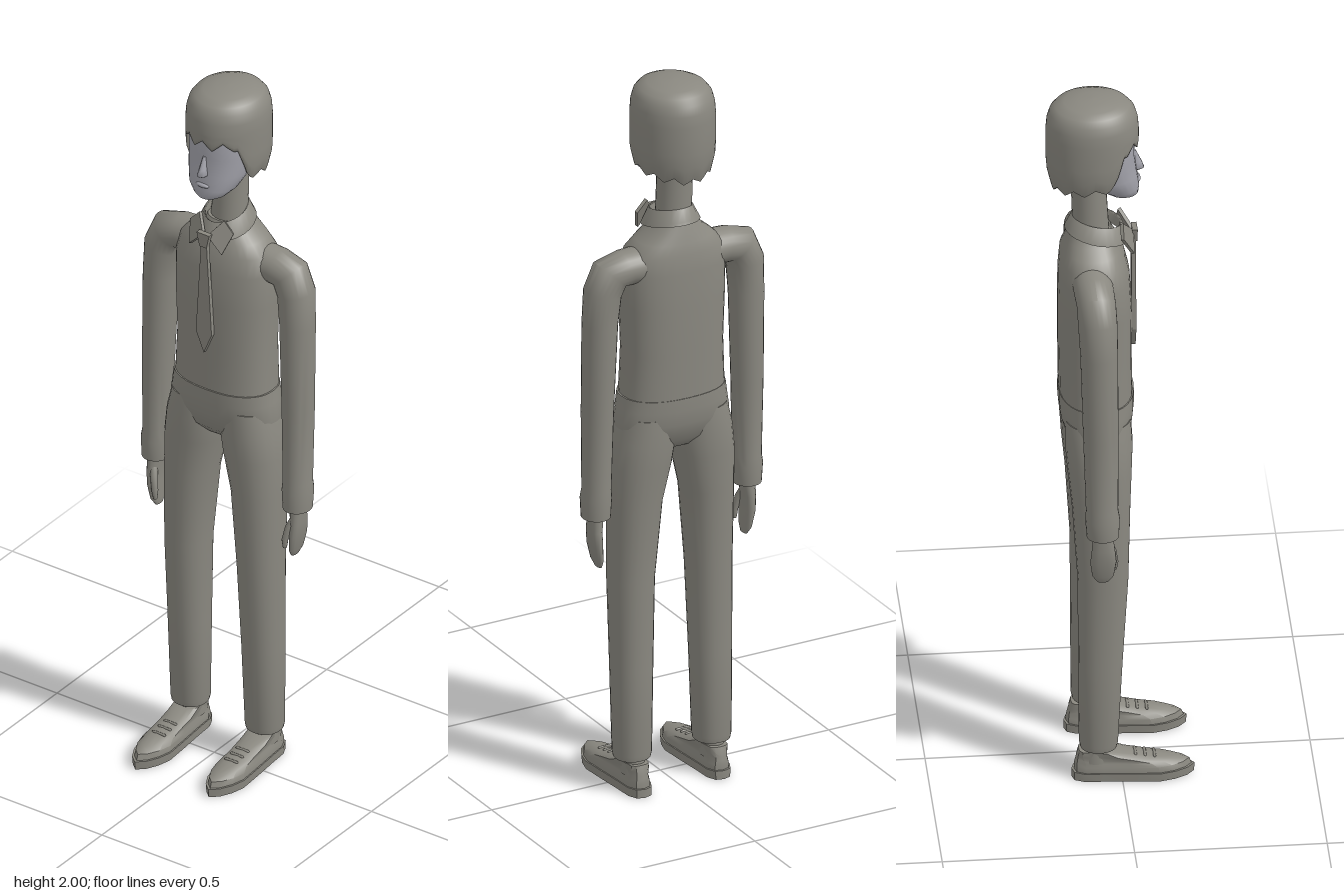
import * as THREE from 'three';
import { toCreasedNormals } from 'three/addons/utils/BufferGeometryUtils.js';

// Elliptical cross-section: centre, radii, tilt about z, squareness
function ring(x, y, z, rx, rz, tilt = 0, power = 2, n = 24) {
  const pts = [];
  for (let i = 0; i < n; i++) {
    const a = (i / n) * Math.PI * 2, c = Math.cos(a), s = Math.sin(a);
    const u = Math.sign(c) * Math.abs(c) ** (2 / power) * rx;
    const v = Math.sign(s) * Math.abs(s) ** (2 / power) * rz;
    pts.push(new THREE.Vector3(x + u * Math.cos(tilt), y + u * Math.sin(tilt), z + v));
  }
  return pts;
}

// Skin over rings listed from bottom to top, with optional end caps
function loft(rings, caps = true) {
  const n = rings[0].length, pos = [], idx = [];
  const add = (p) => pos.push(p.x, p.y, p.z) / 3 - 1;
  rings.forEach((r) => r.forEach(add));
  for (let j = 0; j < rings.length - 1; j++) {
    for (let i = 0; i < n; i++) {
      const k = (i + 1) % n, a = j * n + i, b = j * n + k;
      idx.push(a, a + n, b, b, a + n, b + n);
    }
  }
  if (caps) [rings[0], rings[rings.length - 1]].forEach((r, top) => {
    const mid = r.reduce((m, p) => m.add(p), new THREE.Vector3()).divideScalar(n);
    const c = add(mid), first = r.map(add)[0];
    for (let i = 0; i < n; i++) {
      const a = first + i, b = first + (i + 1) % n;
      if (top) idx.push(c, b, a); else idx.push(c, a, b);
    }
  });
  const g = new THREE.BufferGeometry();
  g.setAttribute('position', new THREE.Float32BufferAttribute(pos, 3));
  g.setIndex(idx);
  g.computeVertexNormals();
  return g;
}

// Copy of a geometry reflected across x = 0
function mirror(geo) {
  const g = geo.clone().scale(-1, 1, 1);
  const src = g.index ? Array.from(g.index.array) : Array.from({ length: g.attributes.position.count }, (_, i) => i);
  for (let i = 0; i < src.length; i += 3) [src[i + 1], src[i + 2]] = [src[i + 2], src[i + 1]];
  g.setIndex(src);
  return g;
}

const rings = (list, power = 2, n = 24) => list.map(([x, y, z, rx, rz, t = 0]) => ring(x, y, z, rx, rz, t, power, n));

function plate(points, depth) {
  const shape = new THREE.Shape(points.map(([x, y]) => new THREE.Vector2(x, y)));
  return new THREE.ExtrudeGeometry(shape, { depth, bevelEnabled: false });
}

// Pointed shoe outline at one height
function shoeRing(y, heel, toe, w) {
  const half = [[0, 1], [0.45, 0.94], [0.8, 0.84], [1, 0.72], [0.9, 0.5], [0.76, 0.25], [0.7, 0.1], [0.45, 0.02], [0, 0]];
  const full = [...half, ...half.slice(1, -1).reverse().map(([x, t]) => [-x, t])];
  return full.reverse().map(([x, t]) => new THREE.Vector3(0.117 + x * w, y, heel + (toe - heel) * t));
}

// Bowl of hair with a ragged fringe, side locks and nape
function hairGeometry() {
  const n = 72, list = [];
  const edge = (i) => {
    const phi = Math.abs(((i / n) * 2 - 0.5) * Math.PI);
    const f = Math.min(phi, Math.PI * 2 - phi);
    const tooth = Math.abs((i % 6) - 3) / 3;
    if (f < 0.85) return 1.862 + tooth * 0.024;
    if (f < 1.2) return THREE.MathUtils.lerp(1.87, 1.765, (f - 0.85) / 0.35);
    return THREE.MathUtils.lerp(1.765, 1.738, (f - 1.2) / 1.95) + tooth * 0.018;
  };
  const row = (r, yOf) => list.push(Array.from({ length: n }, (_, i) => {
    const a = (i / n) * Math.PI * 2, y = yOf(i);
    const k = r * (1 - Math.max(0, 1.81 - y) * 1.6);
    return new THREE.Vector3(Math.cos(a) * 0.109 * k, y, -0.066 + Math.sin(a) * 0.121 * k);
  }));
  row(0.87, (i) => edge(i) + 0.03);
  row(0.93, edge);
  row(0.985, edge);
  for (const t of [0.25, 0.5, 0.75]) row(1, (i) => THREE.MathUtils.lerp(edge(i), 1.91, t));
  [[1, 1.91], [0.98, 1.94], [0.92, 1.965], [0.8, 1.982], [0.6, 1.993], [0.3, 1.999], [0.001, 2]]
    .forEach(([r, y]) => row(r, () => y));
  return loft(list, false);
}

export function createModel() {
  const model = new THREE.Group();
  const grey = new THREE.MeshStandardMaterial({ name: 'warm grey', color: 0x8a8880, side: THREE.DoubleSide });
  const pale = new THREE.MeshStandardMaterial({ name: 'pale face grey', color: 0xa2a2aa });
  const add = (name, geo, mat = grey) => {
    const m = new THREE.Mesh(geo, mat);
    m.name = name;
    model.add(m);
    return m;
  };
  const pair = (name, geo) => {
    add('left' + name, geo);
    add('right' + name, mirror(geo));
  };

  // Head, nose, neck and hair
  add('face', loft(rings([
    [0, 1.71, 0.025, 0.028, 0.026], [0, 1.718, 0.014, 0.045, 0.04], [0, 1.74, 0, 0.066, 0.056],
    [0, 1.78, -0.03, 0.083, 0.08], [0, 1.83, -0.05, 0.091, 0.094], [0, 1.89, -0.056, 0.095, 0.1],
    [0, 1.95, -0.06, 0.085, 0.09], [0, 1.975, -0.06, 0.05, 0.05]], 2.2)), pale);
  add('nose', loft(rings([
    [0, 1.776, 0.045, 0.006, 0.01], [0, 1.784, 0.05, 0.014, 0.02], [0, 1.8, 0.046, 0.01, 0.018],
    [0, 1.835, 0.038, 0.005, 0.01]], 2, 10)), pale);
  add('lips', new THREE.SphereGeometry(1, 12, 8).scale(0.022, 0.007, 0.01).translate(0, 1.752, 0.05), pale);
  add('neck', loft(rings([[0, 1.57, -0.07, 0.055, 0.05], [0, 1.64, -0.071, 0.048, 0.047], [0, 1.79, -0.078, 0.047, 0.045]])));
  add('hair', hairGeometry());

  // Shirt body
  add('shirt', toCreasedNormals(loft(rings([
    [0, 1.11, -0.058, 0.144, 0.095], [0, 1.25, -0.06, 0.138, 0.095], [0, 1.38, -0.06, 0.143, 0.096],
    [0, 1.48, -0.062, 0.145, 0.092], [0, 1.53, -0.066, 0.135, 0.084], [0, 1.56, -0.068, 0.105, 0.074],
    [0, 1.585, -0.07, 0.075, 0.065], [0, 1.61, -0.072, 0.056, 0.055]], 2.4, 32)), 0.9));

  // Sleeves bending over the shoulders
  pair('Sleeve', toCreasedNormals(loft(rings([
    [0.224, 0.8, -0.058, 0.038, 0.042], [0.224, 0.855, -0.059, 0.041, 0.045], [0.223, 0.88, -0.06, 0.038, 0.042],
    [0.222, 1.1, -0.063, 0.042, 0.046], [0.217, 1.35, -0.067, 0.047, 0.049], [0.211, 1.44, -0.07, 0.051, 0.051, 0.25],
    [0.19, 1.488, -0.072, 0.054, 0.051, 0.75], [0.145, 1.498, -0.074, 0.049, 0.052, 1.3],
    [0.08, 1.5, -0.075, 0.05, 0.052, 1.57]])), 0.9));

  // Hands with thumbs
  pair('Hand', loft(rings([
    [0.216, 0.655, -0.057, 0.006, 0.015], [0.22, 0.675, -0.057, 0.011, 0.028], [0.226, 0.72, -0.057, 0.015, 0.034],
    [0.228, 0.76, -0.057, 0.017, 0.03], [0.224, 0.82, -0.058, 0.02, 0.024]], 2.2, 16)));
  pair('Thumb', loft(rings([
    [0.206, 0.685, -0.026, 0.005, 0.006], [0.207, 0.71, -0.025, 0.009, 0.009], [0.215, 0.75, -0.033, 0.01, 0.011],
    [0.224, 0.78, -0.045, 0.008, 0.01]], 2, 10)));

  // Trousers
  add('trouserHips', toCreasedNormals(loft(rings([
    [0, 0.972, -0.056, 0.1, 0.055], [0, 1, -0.056, 0.155, 0.08], [0, 1.05, -0.057, 0.16, 0.094],
    [0, 1.09, -0.057, 0.153, 0.098], [0, 1.125, -0.057, 0.148, 0.098]], 2.3, 32)), 0.9));
  pair('TrouserLeg', toCreasedNormals(loft(rings([
    [0.118, 0.095, -0.06, 0.048, 0.048], [0.118, 0.11, -0.06, 0.051, 0.051], [0.117, 0.35, -0.055, 0.055, 0.058],
    [0.115, 0.6, -0.048, 0.06, 0.066], [0.106, 0.82, -0.052, 0.07, 0.076], [0.093, 0.93, -0.055, 0.082, 0.084],
    [0.084, 1, -0.056, 0.083, 0.088], [0.075, 1.07, -0.057, 0.075, 0.085]], 2.2)), 0.9));

  // Ankles, shoes and laces
  pair('Ankle', loft(rings([[0.117, 0.05, -0.065, 0.032, 0.04], [0.117, 0.12, -0.062, 0.029, 0.036]])));
  pair('Sole', toCreasedNormals(loft([shoeRing(0, -0.13, 0.188, 0.047), shoeRing(0.024, -0.13, 0.19, 0.049)]), 0.6));
  pair('Shoe', toCreasedNormals(loft([
    shoeRing(0.024, -0.124, 0.182, 0.045), shoeRing(0.04, -0.124, 0.176, 0.044), shoeRing(0.05, -0.122, 0.15, 0.038),
    shoeRing(0.058, -0.12, 0.1, 0.036), shoeRing(0.07, -0.117, 0.03, 0.037), shoeRing(0.085, -0.112, -0.015, 0.036)]), 0.7));
  [[0.035, 0.067], [0.06, 0.063], [0.085, 0.059]].forEach(([z, y], i) =>
    pair('Lace' + (i + 1), new THREE.CapsuleGeometry(0.004, 0.034, 3, 8).rotateZ(Math.PI / 2).translate(0.115, y, z)));

  // Collar band, higher at the back, with two front points
  const collarRing = (y, rx, rz) => ring(0, y, -0.054, rx, rz).map((p) => p.setY(p.y - (p.z + 0.054) * 0.22));
  add('collarBand', loft([
    collarRing(1.592, 0.076, 0.084), collarRing(1.6, 0.073, 0.08), collarRing(1.636, 0.055, 0.066),
    collarRing(1.63, 0.05, 0.06), collarRing(1.6, 0.05, 0.06)], false));
  pair('CollarPoint', plate([[0.004, 1.592], [0.046, 1.545], [0.073, 1.603], [0.046, 1.636]], 0.009)
    .translate(0, -1.59, 0).rotateX(-0.35).rotateY(0.4).translate(0, 1.59, 0.036));

  // Tie
  add('tieKnot', plate([[-0.02, 1.602], [-0.011, 1.562], [0.011, 1.562], [0.02, 1.602]], 0.014).translate(0, 0, 0.037));
  add('tieBlade', plate([[-0.009, 1.565], [-0.025, 1.3], [0, 1.24], [0.025, 1.3], [0.009, 1.565]], 0.012).translate(0, 0, 0.035));

  return model;
}
